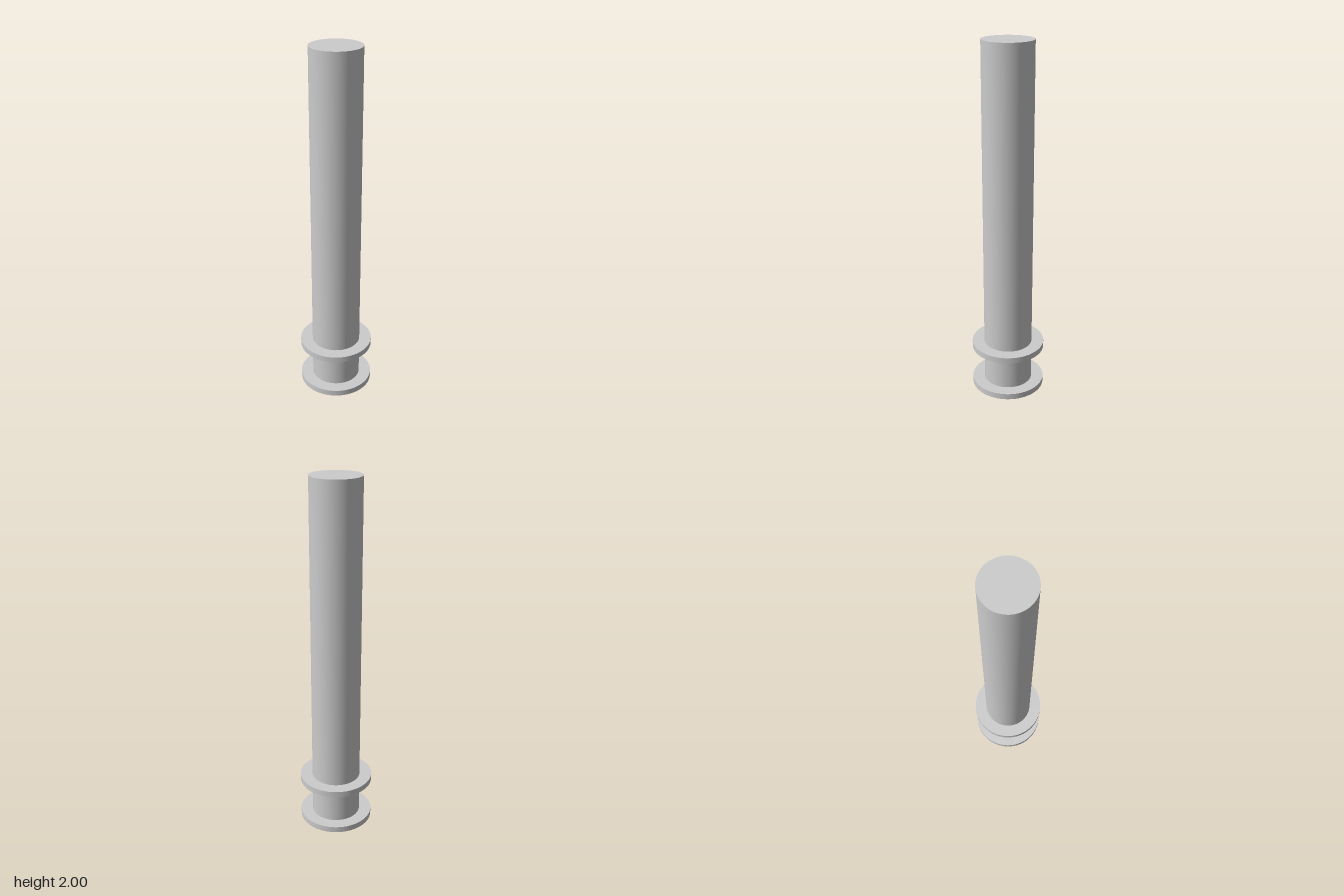
import * as THREE from 'three';

export function createModel() {
  const group = new THREE.Group();
  const material = new THREE.MeshStandardMaterial({ color: 0xcccccc });
  const unit = 2 / 58; // flange thickness; every other size is a multiple of it

  // Upright round part between two heights, given in units
  const addDisc = (name, radius, bottom, top) => {
    const geometry = new THREE.CylinderGeometry(radius * unit, radius * unit, (top - bottom) * unit, 96);
    geometry.translate(0, ((bottom + top) / 2) * unit, 0);
    const mesh = new THREE.Mesh(geometry, material);
    mesh.name = name;
    group.add(mesh);
  };

  addDisc('baseFlange', 6, 0, 1);
  addDisc('collar', 6, 7, 8);
  addDisc('shaft', 4, 1, 58);

  return group;
}
